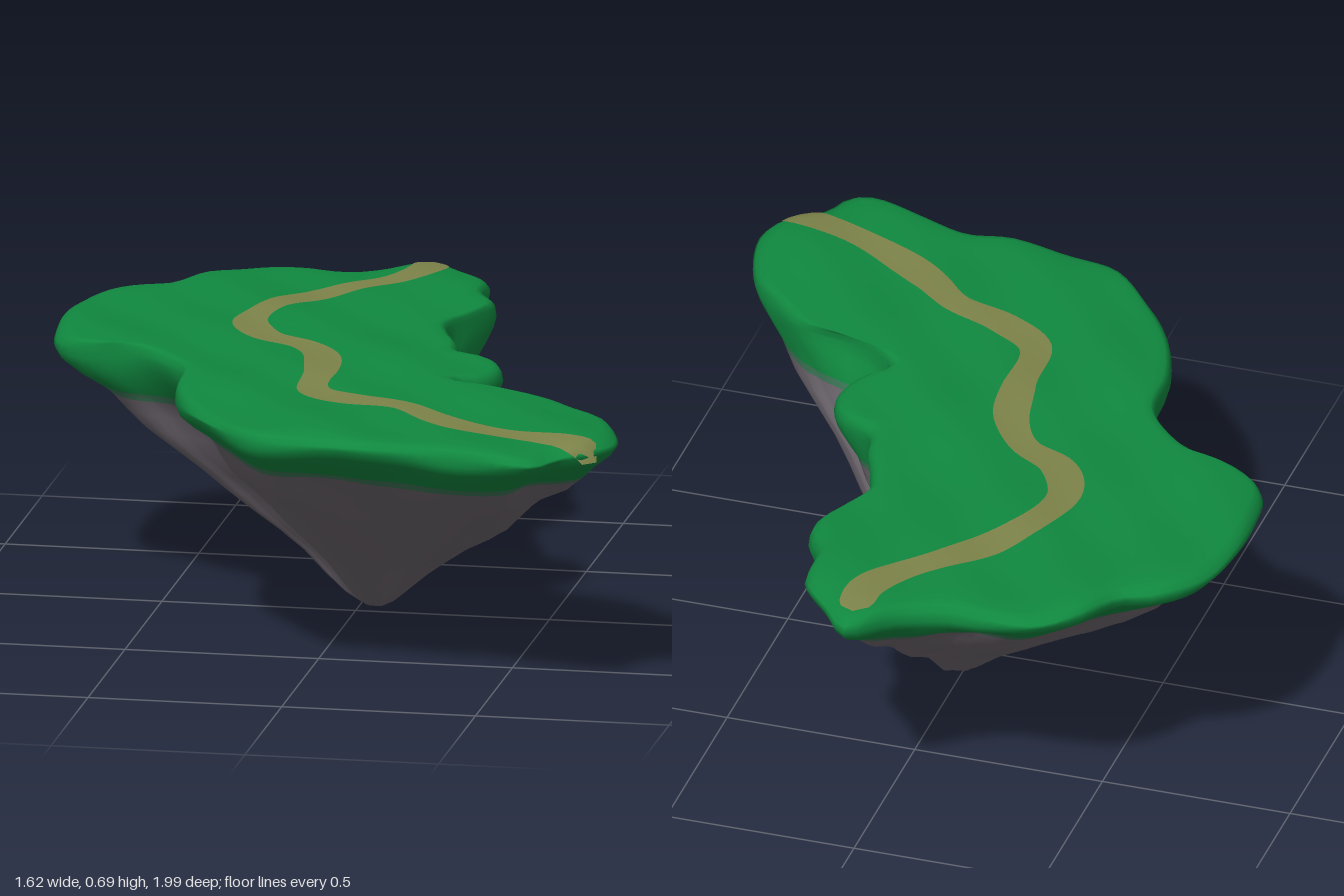
import * as THREE from 'three';

const SEGMENTS = 168;
const mat = (name, color, side = THREE.FrontSide) => {
  const m = new THREE.MeshStandardMaterial({ color, side });
  m.name = name;
  return m;
};
const curve = (flat, closed) => {
  const pts = [];
  for (let i = 0; i < flat.length; i += 2) pts.push(new THREE.Vector3(flat[i], 0, flat[i + 1]));
  return new THREE.CatmullRomCurve3(pts, closed, 'centripetal');
};

// Shoreline of the island as x, z pairs
const OUTLINE = [
  0.03, -1, 0.1, -0.93, 0.19, -0.82, 0.2, -0.7, 0.25, -0.6, 0.22, -0.5, 0.17, -0.38, 0.19, -0.28,
  0.23, -0.18, 0.25, -0.1, 0.35, -0.04, 0.39, 0.05, 0.36, 0.15, 0.3, 0.21, 0.38, 0.29, 0.58, 0.35,
  0.68, 0.44, 0.76, 0.53, 0.81, 0.74, 0.76, 0.84, 0.69, 0.9, 0.65, 0.98, 0.6, 0.99, 0.45, 0.94,
  0.32, 0.9, 0.2, 0.91, 0.05, 0.88, -0.1, 0.85, -0.22, 0.73, -0.33, 0.57, -0.39, 0.4, -0.41, 0.22,
  -0.5, 0.1, -0.58, 0.04, -0.7, 0.01, -0.78, -0.05, -0.81, -0.2, -0.81, -0.35, -0.77, -0.52,
  -0.68, -0.62, -0.6, -0.66, -0.52, -0.78, -0.42, -0.86, -0.3, -0.87, -0.2, -0.86, -0.08, -0.91,
];
// Winding footpath as x, z pairs
const PATH = [
  0.02, -0.95, 0.02, -0.85, -0.03, -0.75, -0.14, -0.63, -0.24, -0.5, -0.3, -0.38, -0.32, -0.25,
  -0.26, -0.13, -0.15, -0.06, -0.08, 0.05, -0.05, 0.2, -0.03, 0.4, 0.08, 0.48, 0.22, 0.53,
  0.32, 0.62, 0.4, 0.68, 0.55, 0.76, 0.78, 0.83,
];
// Rings from the bottom tip to the rim: scale, height
const UNDERSIDE = [
  [0, 0], [0.04, 0.004], [0.09, 0.03], [0.15, 0.075], [0.23, 0.135], [0.31, 0.185], [0.39, 0.235],
  [0.47, 0.285], [0.55, 0.335], [0.63, 0.385], [0.71, 0.435], [0.78, 0.48], [0.84, 0.525],
  [0.87, 0.545], [0.93, 0.58], [0.98, 0.612], [1, 0.638],
];
const ROCK_RINGS = 12, BLEND_RINGS = 13;
// Rings from the rim to the middle of the meadow
const MEADOW = [[0.992, 0.655], [0.975, 0.668], [0.95, 0.674]];
for (let s = 0.9; s > -0.01; s -= 0.05) MEADOW.push([Math.max(s, 0), 0.676]);

function buildGround() {
  const shore = curve(OUTLINE, true).getSpacedPoints(SEGMENTS).slice(0, SEGMENTS);
  const tip = new THREE.Vector3(0.03, 0, -0.08);
  const middle = new THREE.Vector3(-0.15, 0, 0.1);

  // Softer shoreline for the rock, with the inlets partly filled
  const rockShore = shore.map((p, i) => {
    const mean = new THREE.Vector3();
    for (let k = -6; k <= 6; k++) mean.add(shore[(i + k + SEGMENTS) % SEGMENTS]);
    mean.divideScalar(13);
    return p.clone().lerp(mean, mean.distanceTo(tip) > p.distanceTo(tip) ? 1 : 0.35);
  });

  const positions = [], index = [];
  UNDERSIDE.forEach(([s, y]) => {
    const fill = Math.min(1, (1 - s) / 0.2);
    shore.forEach((p, i) => {
      const q = p.clone().lerp(rockShore[i], fill);
      // Rough rock: broad bulges and ledges, fading out at the rim and tip
      const rough = fill * (0.035 * Math.sin(q.x * 9 + y * 14) * Math.cos(q.z * 8 - y * 9)
        + 0.02 * Math.sin(q.x * 17 - q.z * 13 + y * 31));
      q.lerpVectors(tip, q, s * (1 + rough));
      const lip = s > 0.8 ? 0.01 * Math.sin(p.x * 11 + p.z * 7) : 0;
      positions.push(q.x, y + lip * (s < 0.9 ? 0.5 : 1), q.z);
    });
  });
  MEADOW.forEach(([s, y]) => shore.forEach((p) => {
    const q = middle.clone().lerp(p, s);
    const bump = 0.005 * Math.sin(q.x * 10 + 1) * Math.cos(q.z * 9) + 0.003 * Math.sin(q.x * 19 - q.z * 16);
    positions.push(q.x, y + bump, q.z);
  }));

  const rings = UNDERSIDE.length + MEADOW.length;
  for (let r = 0; r < rings - 1; r++) {
    for (let i = 0; i < SEGMENTS; i++) {
      const j = (i + 1) % SEGMENTS;
      const a = r * SEGMENTS + i, c = r * SEGMENTS + j;
      const b = a + SEGMENTS, d = c + SEGMENTS;
      index.push(a, b, c, c, b, d);
    }
  }
  const geometry = new THREE.BufferGeometry();
  geometry.setAttribute('position', new THREE.Float32BufferAttribute(positions, 3));
  geometry.setIndex(index);
  geometry.computeVertexNormals();
  // Rock, mossy seam and grass bands
  const perRing = SEGMENTS * 6;
  geometry.addGroup(0, ROCK_RINGS * perRing, 0);
  geometry.addGroup(ROCK_RINGS * perRing, (BLEND_RINGS - ROCK_RINGS) * perRing, 1);
  geometry.addGroup(BLEND_RINGS * perRing, (rings - 1 - BLEND_RINGS) * perRing, 2);
  return geometry;
}

// Thin ribbon draped over the ground
function buildPath(ground) {
  const line = curve(PATH, false), steps = 120, across = 6;
  const ray = new THREE.Raycaster();
  const down = new THREE.Vector3(0, -1, 0);
  const positions = [], index = [];
  for (let i = 0; i <= steps; i++) {
    const t = i / steps;
    const p = line.getPointAt(t), dir = line.getTangentAt(t);
    const end = Math.min(1, Math.min(t, 1 - t) / 0.02);
    const half = (0.043 + 0.005 * Math.sin(t * 40)) * Math.sqrt(1 - (1 - end) ** 2);
    for (let k = 0; k <= across; k++) {
      const off = (k / across * 2 - 1) * half;
      const x = p.x - dir.z * off, z = p.z + dir.x * off;
      ray.set(new THREE.Vector3(x, 1, z), down);
      const hit = ray.intersectObject(ground)[0];
      positions.push(x, (hit ? hit.point.y : 0.63) + 0.004, z);
      if (i < steps && k < across) {
        const a = i * (across + 1) + k, b = a + across + 1;
        index.push(a, a + 1, b, b, a + 1, b + 1);
      }
    }
  }
  const geometry = new THREE.BufferGeometry();
  geometry.setAttribute('position', new THREE.Float32BufferAttribute(positions, 3));
  geometry.setIndex(index);
  geometry.computeVertexNormals();
  // Keep the ribbon facing up
  if (geometry.attributes.normal.getY(steps * 3) < 0) {
    geometry.setIndex(index.reverse());
    geometry.computeVertexNormals();
  }
  return geometry;
}

export function createModel() {
  const group = new THREE.Group();
  group.name = 'floatingIsland';

  const ground = new THREE.Mesh(buildGround(), [
    mat('rock', 0x6f6870), mat('mossySeam', 0x3c7757), mat('grass', 0x10883f),
  ]);
  ground.name = 'rockAndMeadow';
  ground.updateMatrixWorld();

  const path = new THREE.Mesh(buildPath(ground), mat('dirtPath', 0x7d8349));
  path.name = 'footpath';

  group.add(ground, path);
  return group;
}
